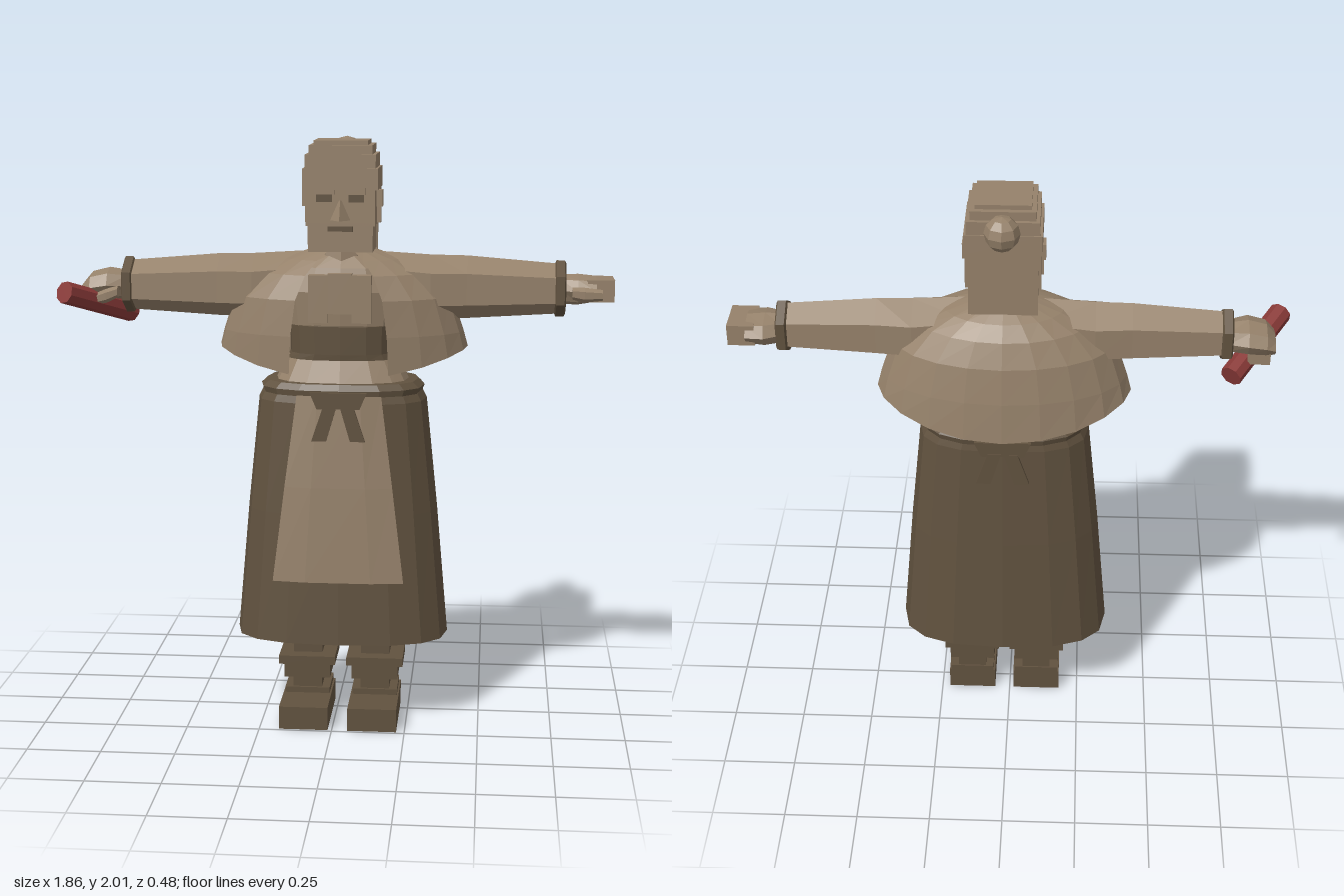
import * as THREE from 'three';

const mat = (name, color) => Object.assign(
  new THREE.MeshStandardMaterial({ color, flatShading: true, side: THREE.DoubleSide }), { name });

export function createModel() {
  const tan = mat('tan cloth and skin', 0x95816a);
  const brown = mat('dark brown cloth', 0x61523f);
  const red = mat('red rod', 0x8a3a38);
  const model = new THREE.Group();
  model.name = 'robedFigure';
  const CX = 0.02; // body centre line

  const add = (parent, name, geo, material, x = 0, y = 0, z = 0) => {
    const m = new THREE.Mesh(geo, material);
    m.name = name;
    m.position.set(x, y, z);
    parent.add(m);
    return m;
  };
  // Box given by its extents on each axis
  const box = (parent, name, material, x0, x1, y0, y1, z0, z1) =>
    add(parent, name, new THREE.BoxGeometry(x1 - x0, y1 - y0, z1 - z0), material,
      (x0 + x1) / 2, (y0 + y1) / 2, (z0 + z1) / 2);

  // Skin over a list of equal-length rings of [x, y, z]
  const loft = (rings, closed = true, caps = false) => {
    const n = rings[0].length, pos = rings.flat(2), idx = [];
    for (let i = 0; i < rings.length - 1; i++)
      for (let j = 0; j < (closed ? n : n - 1); j++) {
        const a = i * n + j, b = i * n + (j + 1) % n;
        idx.push(a, b, b + n, a, b + n, a + n);
      }
    if (caps) {
      const top = (rings.length - 1) * n;
      for (let j = 1; j < n - 1; j++) idx.push(0, j + 1, j, top, top + j, top + j + 1);
    }
    const g = new THREE.BufferGeometry();
    g.setAttribute('position', new THREE.Float32BufferAttribute(pos, 3));
    g.setIndex(idx);
    g.computeVertexNormals();
    return g;
  };
  const pw = (v, p) => Math.sign(v) * Math.abs(v) ** p;
  // Horizontal rounded ring: half width a, front z, back z
  const oval = (y, a, zf, zb, n = 16, p = 0.75) => Array.from({ length: n }, (_, i) => {
    const t = (i / n) * Math.PI * 2;
    return [a * pw(Math.sin(t), p), y, (zf + zb) / 2 + (zf - zb) / 2 * pw(Math.cos(t), p)];
  });
  const ovals = (rows, ...r) => rows.map(row => oval(...row, ...r));

  const body = new THREE.Group();
  body.name = 'body';
  body.position.x = CX;
  model.add(body);

  // Legs, leg wraps and shoes
  for (const s of [-1, 1]) {
    const leg = new THREE.Group();
    leg.name = s > 0 ? 'leftLeg' : 'rightLeg';
    leg.position.x = s * 0.118;
    body.add(leg);
    box(leg, 'shoe', brown, -0.084, 0.084, 0, 0.08, -0.07, 0.24);
    box(leg, 'shoeHeel', brown, -0.078, 0.078, 0.08, 0.1, -0.07, 0.09);
    box(leg, 'ankle', brown, -0.05, 0.05, 0.09, 0.15, -0.065, 0.08);
    box(leg, 'lowerWrap', brown, -0.08, 0.08, 0.14, 0.2, -0.07, 0.1);
    box(leg, 'upperWrap', brown, -0.098, 0.098, 0.19, 0.22, -0.075, 0.11);
    box(leg, 'shin', brown, -0.05, 0.05, 0.21, 0.7, -0.04, 0.06);
  }

  // Long skirt
  add(body, 'skirt', loft(ovals([
    [0.3, 0.367, 0.222, -0.192], [0.75, 0.327, 0.202, -0.175],
    [1.13, 0.288, 0.185, -0.158], [1.18, 0.262, 0.172, -0.148]])), brown);
  add(body, 'waistBelt', loft(ovals([
    [1.155, 0.272, 0.186, -0.158], [1.175, 0.28, 0.188, -0.162],
    [1.195, 0.258, 0.176, -0.15], [1.2, 0.2, 0.14, -0.12]])), brown);

  // Apron panel, bent slightly around the skirt
  add(body, 'apron', loft([[0.525, 0.222, 0.238], [0.85, 0.182, 0.222], [1.16, 0.142, 0.2]].map(([y, w, z]) =>
    [-1, -0.5, 0.5, 1].map(u => [u * w, y, z - (Math.abs(u) === 1 ? 0.014 : 0)])), false), tan);

  // Bows at the front and the back of the belt
  for (const s of [1, -1]) {
    const bow = new THREE.Group();
    bow.name = s > 0 ? 'frontBow' : 'backBow';
    bow.position.set(0, 1.12, s > 0 ? 0.21 : -0.166);
    body.add(bow);
    const knot = new THREE.Shape([[-0.072, 0], [0.072, 0], [0.095, 0.055], [-0.095, 0.055]]
      .map(p => new THREE.Vector2(...p)));
    const flat = { depth: 0.012, bevelEnabled: false };
    add(bow, 'bowKnot', new THREE.ExtrudeGeometry(knot, flat), brown, 0, 0, -0.004);
    for (const k of [-1, 1]) {
      const tail = new THREE.Shape([[k * 0.005, 0.01], [k * 0.05, 0.01], [k * 0.09, -0.11], [k * 0.04, -0.11]]
        .map(p => new THREE.Vector2(...p)));
      add(bow, 'bowTail', new THREE.ExtrudeGeometry(tail, flat), brown, 0, 0, -0.006);
    }
  }

  // Torso with sash and crossed chest cloth
  add(body, 'lowerTorso', loft(ovals([[1.18, 0.235, 0.168, -0.135], [1.28, 0.185, 0.128, -0.1]])), tan);
  add(body, 'sash', loft(ovals([[1.27, 0.19, 0.135, -0.105], [1.29, 0.178, 0.137, -0.102],
    [1.385, 0.18, 0.14, -0.102], [1.395, 0.16, 0.125, -0.09]])), brown);
  add(body, 'upperTorso', loft(ovals([[1.385, 0.185, 0.135, -0.1], [1.5, 0.2, 0.145, -0.11],
    [1.58, 0.17, 0.12, -0.1], [1.62, 0.08, 0.08, -0.06]])), tan);
  for (const s of [-1, 1]) {
    box(body, 'chestCloth', tan, s > 0 ? 0.04 : -0.105, s > 0 ? 0.105 : -0.04, 1.4, 1.56, 0.1, 0.155);
  }
  box(body, 'chestPanel', tan, -0.04, 0.04, 1.43, 1.565, 0.1, 0.15);
  add(body, 'neck', new THREE.CylinderGeometry(0.07, 0.085, 0.1, 8), tan, 0, 1.61, 0.02);

  // Open cape; its hem rises over the arms and the front stays parted
  const capeRows = [
    [1.22, 0.425, 0.218, -0.238], [1.36, 0.41, 0.22, -0.222], [1.48, 0.37, 0.214, -0.2],
    [1.56, 0.29, 0.188, -0.165], [1.605, 0.2, 0.14, -0.125], [1.635, 0.11, 0.095, -0.08]];
  add(body, 'cape', loft(capeRows.map(([y, a, zf, zb], r) => Array.from({ length: 19 }, (_, i) => {
    const t = THREE.MathUtils.degToRad(23 + (314 * i) / 18);
    const rise = r === 0 ? 0.085 * Math.sin(t) ** 2 : 0;
    return [a * Math.sin(t), y + rise, (zf + zb) / 2 + (zf - zb) / 2 * Math.cos(t)];
  })), false), tan);

  // Tube along x from [x, y, halfHeight, halfDepth] sections
  const limb = (rows, z, n = 6) => loft(rows.map(([x, y, hy, hz]) => Array.from({ length: n }, (_, i) => {
    const t = (i / n) * Math.PI * 2;
    return [x, y + hy * Math.cos(t), z + hz * Math.sin(t)];
  })), true, true);

  // Arms, drawn for +x and mirrored
  for (const s of [-1, 1]) {
    const arm = new THREE.Group();
    arm.name = s > 0 ? 'leftArm' : 'rightArm';
    arm.scale.x = s;
    body.add(arm);
    add(arm, 'sleeve', limb([[0.1, 1.53, 0.1, 0.1], [0.3, 1.51, 0.108, 0.112],
      [0.42, 1.51, 0.106, 0.098], [0.73, 1.507, 0.084, 0.078]], 0.015), tan);
    add(arm, 'cuff', limb([[0.713, 1.507, 0.085, 0.08], [0.718, 1.507, 0.095, 0.09],
      [0.745, 1.507, 0.095, 0.09], [0.75, 1.507, 0.085, 0.08]], 0.012), brown);
    if (s > 0) {
      add(arm, 'palm', limb([[0.735, 1.505, 0.05, 0.06], [0.79, 1.505, 0.052, 0.085],
        [0.85, 1.507, 0.044, 0.085]], 0.008, 8), tan);
      box(arm, 'fingers', tan, 0.82, 0.91, 1.47, 1.543, -0.06, 0.075);
      add(arm, 'thumb', limb([[0.77, 1.5, 0.02, 0.02], [0.81, 1.495, 0.025, 0.022],
        [0.87, 1.495, 0.018, 0.018]], 0.088), tan);
    } else {
      add(arm, 'fist', limb([[0.735, 1.505, 0.05, 0.06], [0.8, 1.51, 0.055, 0.085],
        [0.86, 1.5, 0.05, 0.08], [0.89, 1.485, 0.03, 0.065]], 0.008, 8), tan);
      box(arm, 'curledFingers', tan, 0.8, 0.875, 1.43, 1.49, -0.05, 0.05);
      add(arm, 'thumb', limb([[0.76, 1.49, 0.02, 0.02], [0.8, 1.475, 0.024, 0.022],
        [0.85, 1.46, 0.018, 0.018]], 0.085), tan);
    }
  }

  // Rod gripped in the right hand
  const from = new THREE.Vector3(-0.727, 1.402, -0.08), to = new THREE.Vector3(-0.903, 1.497, 0.178);
  const rod = add(model, 'rod', new THREE.CylinderGeometry(0.038, 0.038, from.distanceTo(to), 8), red);
  rod.position.lerpVectors(from, to, 0.5);
  rod.quaternion.setFromUnitVectors(new THREE.Vector3(0, 1, 0), to.clone().sub(from).normalize());

  // Blocky head
  const head = new THREE.Group();
  head.name = 'head';
  body.add(head);
  box(head, 'jaw', tan, -0.108, 0.108, 1.635, 1.73, -0.08, 0.13);
  box(head, 'face', tan, -0.115, 0.115, 1.72, 1.85, -0.08, 0.13);
  box(head, 'backHair', tan, -0.112, 0.112, 1.625, 1.85, -0.092, -0.055);
  [[1.84, 1.91, 0.125, 0.138, -0.092], [1.91, 1.955, 0.117, 0.132, -0.088],
    [1.955, 1.985, 0.105, 0.124, -0.075], [1.985, 2, 0.09, 0.112, -0.058]].forEach(([y0, y1, w, zf, zb]) =>
    box(head, 'hairLayer', tan, -w, w, y0, y1, zb, zf));
  for (const s of [-1, 1]) {
    const side = (name, w0, w1, ...r) =>
      box(head, name, tan, Math.min(s * w0, s * w1), Math.max(s * w0, s * w1), ...r);
    side('ear', 0.11, 0.135, 1.78, 1.835, -0.005, 0.045);
    side('earLobe', 0.11, 0.128, 1.725, 1.785, 0, 0.03);
    side('sideHair', 0.11, 0.122, 1.72, 1.85, -0.085, -0.03);
    side('brow', 0.018, 0.085, 1.825, 1.847, 0.12, 0.142);
    side('cheek', 0.028, 0.08, 1.785, 1.8, 0.12, 0.136);
    const ex = s * 0.053;
    box(head, 'eye', brown, ex - 0.026, ex + 0.026, 1.8, 1.825, 0.128, 0.134);
  }
  box(head, 'mouth', brown, -0.042, 0.042, 1.703, 1.72, 0.127, 0.135);
  add(head, 'nose', loft([
    [[-0.035, 1.74, 0.128], [0, 1.74, 0.175], [0.035, 1.74, 0.128]],
    [[-0.006, 1.805, 0.128], [0, 1.805, 0.136], [0.006, 1.805, 0.128]]], true, true), tan);
  add(head, 'hairBun', new THREE.SphereGeometry(0.058, 8, 6), tan, 0, 1.947, -0.145);

  return model;
}
